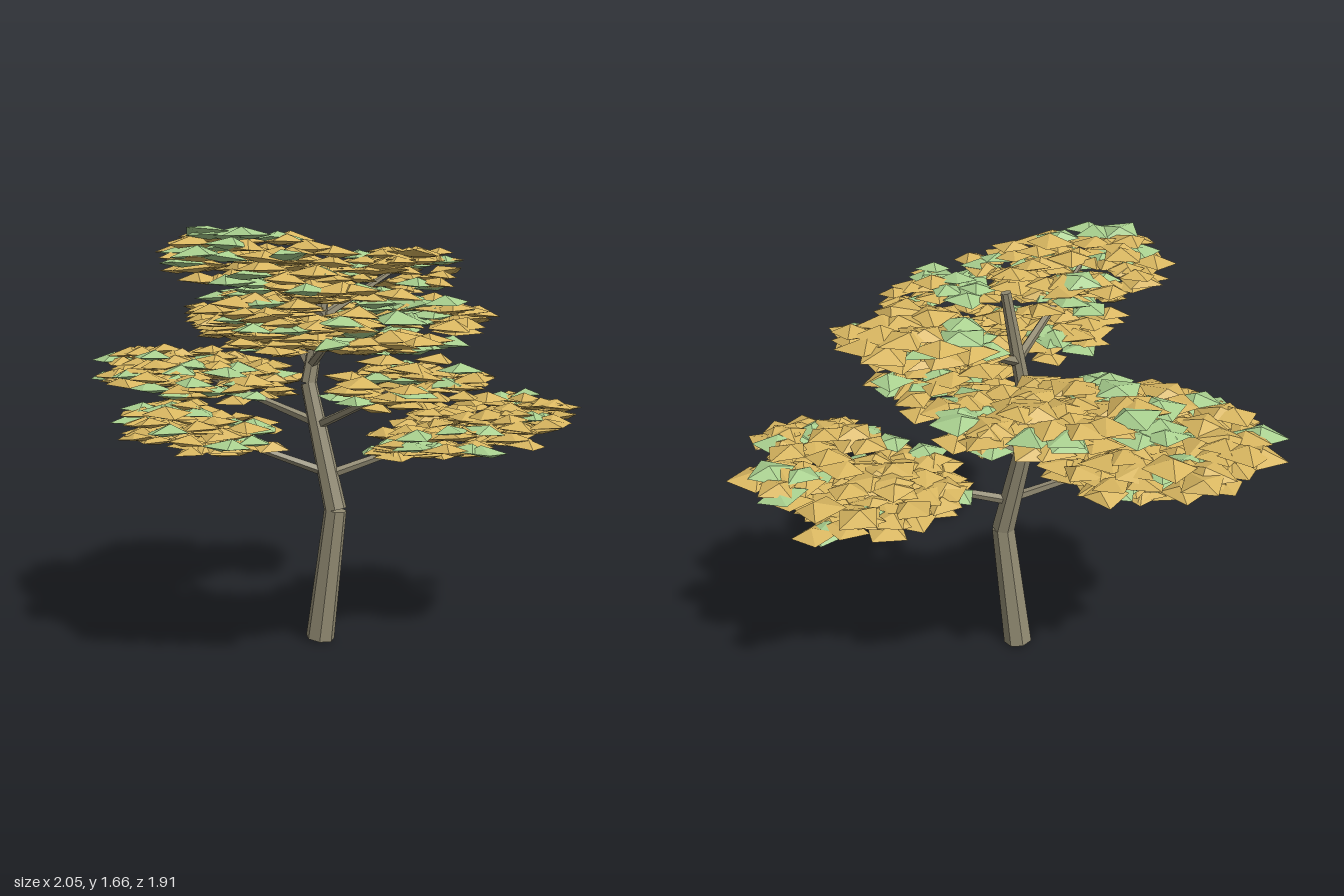
import * as THREE from 'three';
import { mergeGeometries } from 'three/addons/utils/BufferGeometryUtils.js';

const V = (x, y, z) => new THREE.Vector3(x, y, z);

// seeded random numbers in 0..1
let seed = 7;
function rand() {
  seed = (seed * 16807) % 2147483647;
  return seed / 2147483647;
}
const spread = (s) => (rand() * 2 - 1) * s;

const material = (color) => new THREE.MeshStandardMaterial({ color, flatShading: true });
const bark = material(0x918a72);
const leafMaterials = { ochreLeaves: material(0xd8b660), greenLeaves: material(0xa8cf8e) };

// tapered limb between two points
function limb(name, a, b, r0, r1, sides) {
  const dir = b.clone().sub(a);
  const mesh = new THREE.Mesh(new THREE.CylinderGeometry(r1, r0, dir.length(), sides), bark);
  mesh.position.copy(a).addScaledVector(dir, 0.5);
  mesh.quaternion.setFromUnitVectors(V(0, 1, 0), dir.normalize());
  mesh.name = name;
  return mesh;
}

// one leaf clump: a skewed octahedron squashed to a low pyramid with a shallow underside
function leaf(position) {
  const g = new THREE.OctahedronGeometry(0.078 + rand() * 0.024);
  g.rotateX(spread(0.3));
  g.rotateZ(spread(0.3));
  g.rotateY(rand() * Math.PI * 2);
  const p = g.attributes.position;
  for (let i = 0; i < p.count; i++) p.setY(i, p.getY(i) * (p.getY(i) > 0 ? 0.36 : 0.12) - 0.01);
  g.rotateX(spread(0.1));
  g.rotateZ(spread(0.1));
  return g.translate(position.x, position.y, position.z);
}

// rising oval pad of leaves; fan widens it away from the trunk
function foliagePad({ center, heading, along, across, rise, fan = 0 }) {
  const out = V(Math.cos(heading), rise, Math.sin(heading));
  const side = V(-Math.sin(heading), 0, Math.cos(heading));
  const sets = { ochreLeaves: [], greenLeaves: [] };
  const count = Math.round(along * across * 1000);
  for (let i = 0; i < count; i++) {
    const r = Math.sqrt((i + 0.5) / count);
    const a = i * 2.39996 + spread(0.3);
    const u = Math.cos(a) * r;
    const p = center.clone()
      .addScaledVector(out, u * along + spread(0.02))
      .addScaledVector(side, Math.sin(a) * r * across * (1 + fan * u) + spread(0.02));
    p.y += spread(0.1 * (1 - 0.55 * r * r));
    sets[rand() < 0.22 ? 'greenLeaves' : 'ochreLeaves'].push(leaf(p));
  }
  const pad = new THREE.Group();
  pad.name = 'foliagePad';
  for (const [name, list] of Object.entries(sets)) {
    const mesh = new THREE.Mesh(mergeGeometries(list), leafMaterials[name]);
    mesh.name = name;
    pad.add(mesh);
  }
  return pad;
}

export function createModel() {
  seed = 7;
  const tree = new THREE.Group();
  tree.name = 'tree';

  // bent trunk in three tapering pieces
  const joints = [V(-0.028, 0.005, -0.037), V(0.035, 0.55, -0.015), V(-0.075, 1.06, -0.085), V(0.015, 1.59, -0.12)];
  const radii = [0.06, 0.047, 0.034, 0.02];
  for (let i = 0; i < 3; i++) {
    tree.add(limb('trunk', joints[i], joints[i + 1], radii[i], radii[i + 1], 7));
  }
  // point on the trunk at a given height
  function trunkAt(y) {
    let i = 0;
    while (i < 2 && joints[i + 1].y < y) i++;
    return joints[i].clone().lerp(joints[i + 1], (y - joints[i].y) / (joints[i + 1].y - joints[i].y));
  }

  // boughs: height on the trunk, pad centre, heading, half sizes and slope of the pad
  const boughs = [
    { from: 0.69, center: V(0.57, 0.87, -0.2), heading: -0.3, along: 0.39, across: 0.38, rise: 0.2, fan: 0.4 },
    { from: 0.70, center: V(-0.51, 0.89, 0.02), heading: 3.05, along: 0.28, across: 0.31, rise: 0.14 },
    { from: 0.90, center: V(-0.55, 1.09, -0.26), heading: 3.4, along: 0.39, across: 0.38, rise: 0.1 },
    { from: 0.89, center: V(0.31, 1.09, 0.28), heading: 0.85, along: 0.28, across: 0.25, rise: 0.12 },
    { from: 1.14, center: V(0.07, 1.32, 0.52), heading: 1.5, along: 0.37, across: 0.46, rise: 0.2 },
    { from: 1.12, center: V(-0.21, 1.32, -0.54), heading: -1.8, along: 0.35, across: 0.39, rise: 0.2 },
    { from: 1.33, center: V(-0.24, 1.53, 0.41), heading: 2.05, along: 0.3, across: 0.31, rise: 0.2 },
    { from: 1.32, center: V(0.28, 1.52, -0.44), heading: -0.95, along: 0.25, across: 0.25, rise: 0.18 },
  ];
  for (const b of boughs) {
    const bough = new THREE.Group();
    bough.name = 'bough';
    bough.add(limb('branch', trunkAt(b.from), b.center, 0.02, 0.01, 5), foliagePad(b));
    tree.add(bough);
  }
  return tree;
}
